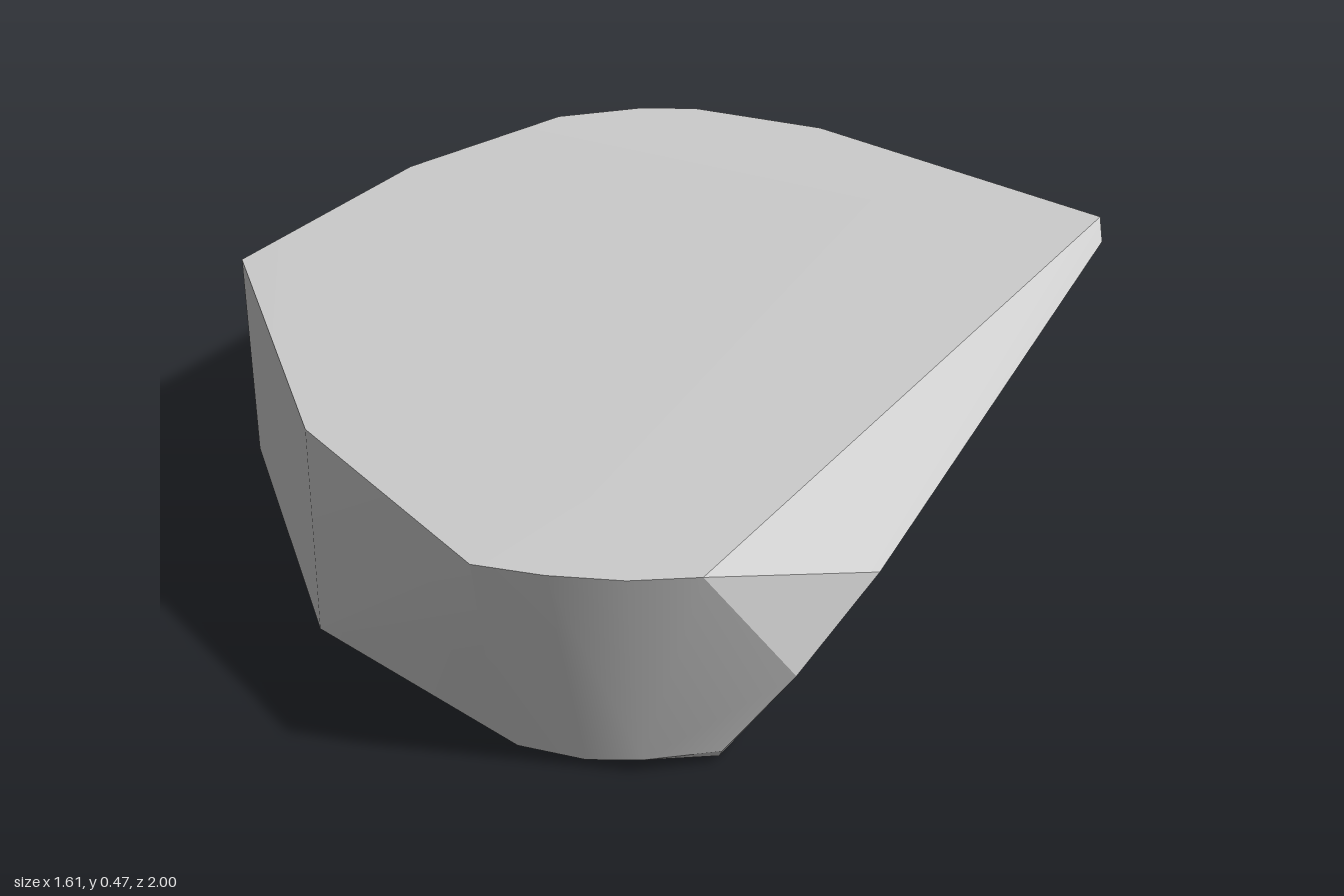
import * as THREE from 'three';
import { ConvexGeometry } from 'three/addons/geometries/ConvexGeometry.js';
import { toCreasedNormals } from 'three/addons/utils/BufferGeometryUtils.js';

export function createModel() {
  const group = new THREE.Group();
  group.name = 'rock';

  // Corners as [x, y, z], ring by ring; the slab is their convex hull
  const topRim = [
    [0.02, 0.472, -1], [-0.3, 0.472, -0.97], [-0.42, 0.472, -0.91], [-0.57, 0.472, -0.77],
    [-0.73, 0.47, -0.35], [-0.805, 0.455, 0.21], [-0.27, 0.455, 0.75], [0.24, 0.455, 1],
    [0.37, 0.455, 0.97], [0.5, 0.455, 0.92], [0.61, 0.455, 0.85], [0.77, 0.472, -0.825],
  ];
  // Undercut right side and front bulge
  const flank = [
    [0.795, 0.44, -0.77], [0.8, 0.325, 0.51], [0.73, 0.2, 0.71],
    [0.24, 0.24, 0.96], [-0.56, 0.27, -0.745],
  ];
  // Small bevel at the front right foot
  const footBevel = [[0.4, 0.015, 0.885], [0.5, 0.03, 0.855], [0.615, 0.03, 0.765]];
  const base = [
    [0.505, 0, -0.75], [0.02, 0, -0.86], [-0.345, 0, -0.8], [-0.55, 0, -0.65], [-0.725, 0, -0.34],
    [-0.785, 0, 0.23], [-0.27, 0, 0.75], [0.26, 0, 0.89], [0.42, 0, 0.85], [0.6, 0, 0.745],
  ];

  const points = [...topRim, ...flank, ...footBevel, ...base].map((p) => new THREE.Vector3(...p));
  const geometry = toCreasedNormals(new ConvexGeometry(points), 0.42);
  const slab = new THREE.Mesh(geometry, new THREE.MeshStandardMaterial({ color: 0xcccccc }));
  slab.name = 'rockSlab';
  group.add(slab);
  return group;
}
